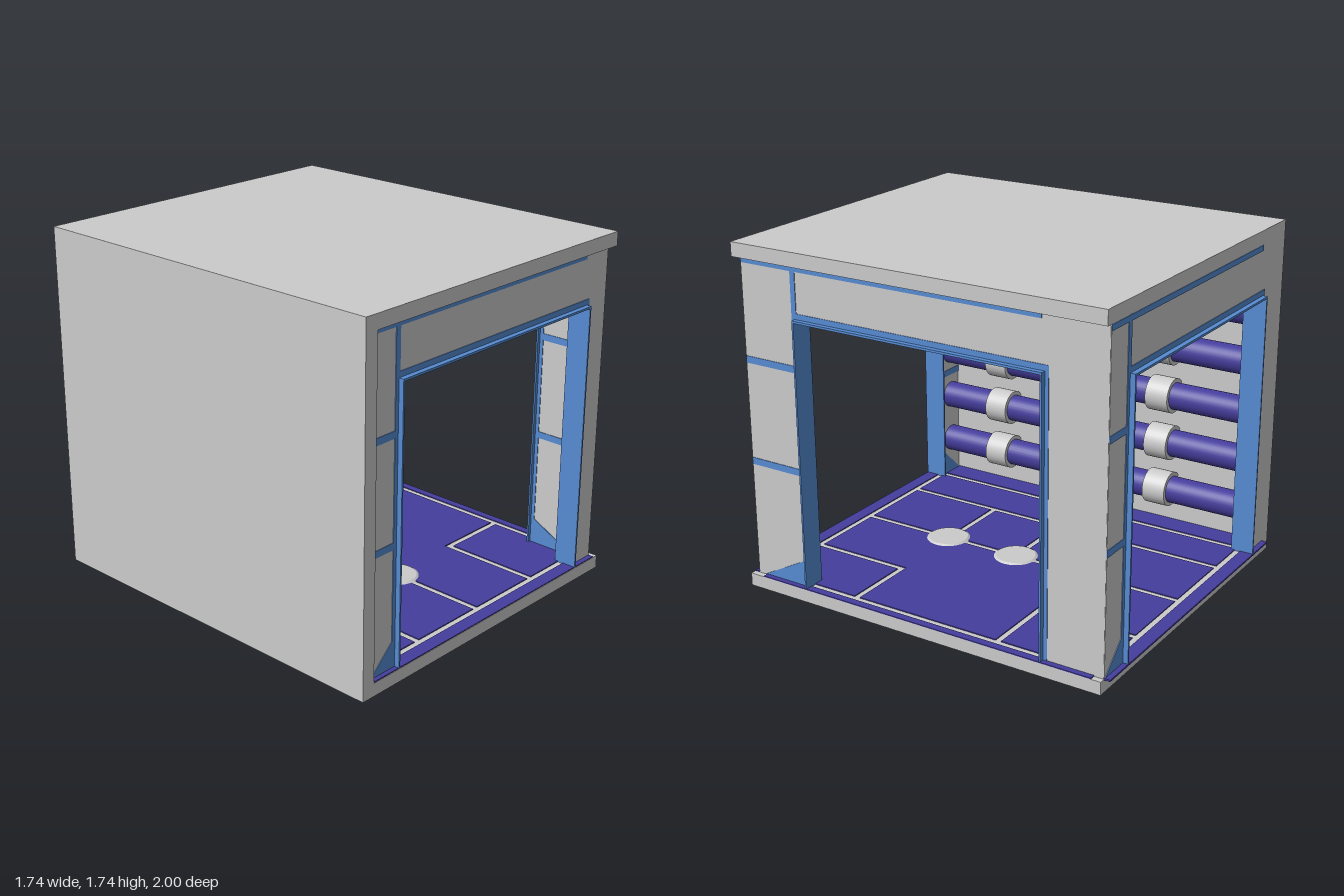
import * as THREE from 'three';

const mat = (color) => new THREE.MeshStandardMaterial({ color });
const grey = mat(0xcccccc), blue = mat(0x568bd2), purple = mat(0x453d9c);

// Box given by its limits on each axis
function slab(parent, name, x0, x1, y0, y1, z0, z1, material = grey) {
  const m = new THREE.Mesh(new THREE.BoxGeometry(x1 - x0, y1 - y0, z1 - z0), material);
  m.position.set((x0 + x1) / 2, (y0 + y1) / 2, (z0 + z1) / 2);
  m.name = name;
  parent.add(m);
  return m;
}

const FLOOR = 0.065, CEIL = 1.67, DOOR = 1.41, T = 0.07;

// Doorway wall, seen from outside: u0..u1 wide, opening d0..d1, outer face at z = out
function doorwayWall(name, u0, u1, d0, d1, out) {
  const g = new THREE.Group();
  g.name = name;
  const inn = out - T, e = 0.003, w = 0.027;
  const s = new THREE.Shape();
  [[u0, FLOOR], [d0, FLOOR], [d0, DOOR], [d1, DOOR], [d1, FLOOR], [u1, FLOOR], [u1, CEIL], [u0, CEIL]]
    .forEach(([x, y], i) => (i ? s.lineTo(x, y) : s.moveTo(x, y)));
  const panel = new THREE.Mesh(new THREE.ExtrudeGeometry(s, { depth: T, bevelEnabled: false }), grey);
  panel.position.z = inn;
  panel.name = 'wallPanel';
  g.add(panel);

  // Flush trim strips showing on both faces
  const strip = (n, a, b, y0, y1) => slab(g, n, a, b, y0, y1, inn - e, out + e, blue);
  strip('leftPost', d0 - w, d0, FLOOR, CEIL);
  strip('rightPost', d1, d1 + w, FLOOR, DOOR + 0.035);
  strip('lintel', d0, d1, DOOR, DOOR + 0.035);
  strip('topStrip', u0, d1 - 0.01, CEIL - 0.028, CEIL - 0.001);
  for (const y of [0.66, 1.173]) {
    strip('sideStrip', u0, d0 - w, y - 0.017, y + 0.017);
    slab(g, 'innerSideStrip', d1 + w, u1 - T, y - 0.017, y + 0.017, inn - e, inn + 0.01, blue);
  }

  // Corner gusset at the foot of the left post
  const t = new THREE.Shape();
  t.moveTo(Math.max(u0, d0 - 0.28), FLOOR);
  t.lineTo(d0 - w, FLOOR);
  t.lineTo(d0 - w, 0.2);
  const gusset = new THREE.Mesh(new THREE.ExtrudeGeometry(t, { depth: T + 2 * e, bevelEnabled: false }), blue);
  gusset.position.z = inn - e;
  gusset.name = 'footGusset';
  g.add(gusset);

  // Thin door lining standing proud of the wall
  const proud = out + 0.028, l = 0.008;
  slab(g, 'liningLeft', d0 - l, d0 + 0.001, FLOOR, DOOR, inn - 0.02, proud, blue);
  slab(g, 'liningRight', d1 - 0.001, d1 + l, FLOOR, DOOR, inn - 0.02, proud, blue);
  slab(g, 'liningTop', d0 - l, d1 + l, DOOR - 0.003, DOOR + l, inn - 0.02, proud, blue);
  return g;
}

// Round ceiling grille: ring plus slats
function ceilingVent(x, z) {
  const g = new THREE.Group();
  g.name = 'ceilingVent';
  const R = 0.33, r = 0.27, h = 0.04;
  const pts = [[r, 0], [r, -h], [r + 0.02, -h - 0.01], [R - 0.015, -h - 0.01], [R, -h], [R, 0]]
    .map(([a, b]) => new THREE.Vector2(a, b));
  const ringMat = grey.clone();
  ringMat.side = THREE.DoubleSide;
  ringMat.flatShading = true;
  const ring = new THREE.Mesh(new THREE.LatheGeometry(pts, 48), ringMat);
  ring.name = 'ventRing';
  g.add(ring);
  for (let i = -3; i <= 3; i++) {
    const c = i * 0.072, half = Math.sqrt(r * r - c * c);
    slab(g, 'ventSlat', -half, half, -h, -0.01, c - 0.016, c + 0.016);
  }
  g.position.set(x, CEIL, z);
  return g;
}

export function createModel() {
  const root = new THREE.Group();
  root.name = 'room';

  // Shell
  slab(root, 'floorSlab', -0.87, 0.87, 0, FLOOR, -0.97, 1);
  slab(root, 'roofSlab', -0.87, 0.87, CEIL, 1.74, -0.97, 1);
  slab(root, 'solidWall', -0.87, -0.8, FLOOR, CEIL, -0.97, 1);

  // Three doorway walls
  root.add(doorwayWall('frontWall', -0.8, 0.84, -0.63, 0.68, 0.972));
  const side = doorwayWall('sideWall', -0.97, 0.968, -0.655, 0.655, 0.84);
  side.rotation.y = Math.PI / 2;
  root.add(side);
  const back = doorwayWall('backWall', -0.838, 0.8, -0.67, 0.63, 0.97);
  back.rotation.y = Math.PI;
  root.add(back);

  // Floor plates: [x0, x1, z0, z1], grey gaps between them
  const plates = [
    [-0.8, -0.675, -0.9, 0.9], [-0.645, -0.415, -0.9, 0.9],
    [-0.385, 0.005, -0.9, -0.415], [-0.385, 0.005, -0.385, -0.015],
    [-0.385, 0.005, 0.015, 0.385], [-0.385, 0.005, 0.415, 0.9],
    [0.035, 0.425, -0.9, 0.9], [0.425, 0.8, -0.385, 0.385],
    [0.455, 0.8, -0.9, -0.415], [0.455, 0.8, 0.415, 0.9],
    [-0.8, 0.84, 0.93, 0.998], [-0.8, 0.84, -1, -0.93], [0.83, 0.87, -0.92, 0.92],
  ];
  for (const [x0, x1, z0, z1] of plates)
    slab(root, 'floorPlate', x0, x1, FLOOR - 0.004, FLOOR + 0.005, z0, z1, purple);

  // Floor discs
  for (const z of [-0.41, 0, 0.41]) {
    const disc = new THREE.Mesh(new THREE.CylinderGeometry(0.1, 0.118, 0.012, 40), grey);
    disc.position.set(0.02, FLOOR + 0.006, z);
    disc.name = 'floorDisc';
    root.add(disc);
  }

  // Wall pipes with collars
  for (let i = 0; i < 5; i++) {
    const y = 0.27 + i * 0.258;
    const tube = (name, r, len, z, material) => {
      const m = new THREE.Mesh(new THREE.CylinderGeometry(r, r, len, 32), material);
      m.rotation.x = Math.PI / 2;
      m.position.set(-0.73, y, z);
      m.name = name;
      root.add(m);
    };
    tube('wallPipe', 0.07, 1.82, 0.01, purple);
    for (const z of [0.55, 0.064, -0.42]) tube('pipeCollar', 0.091, 0.126, z, grey);
  }

  // Ceiling vents
  for (const z of [0.49, -0.45]) root.add(ceilingVent(0.02, z));
  return root;
}
